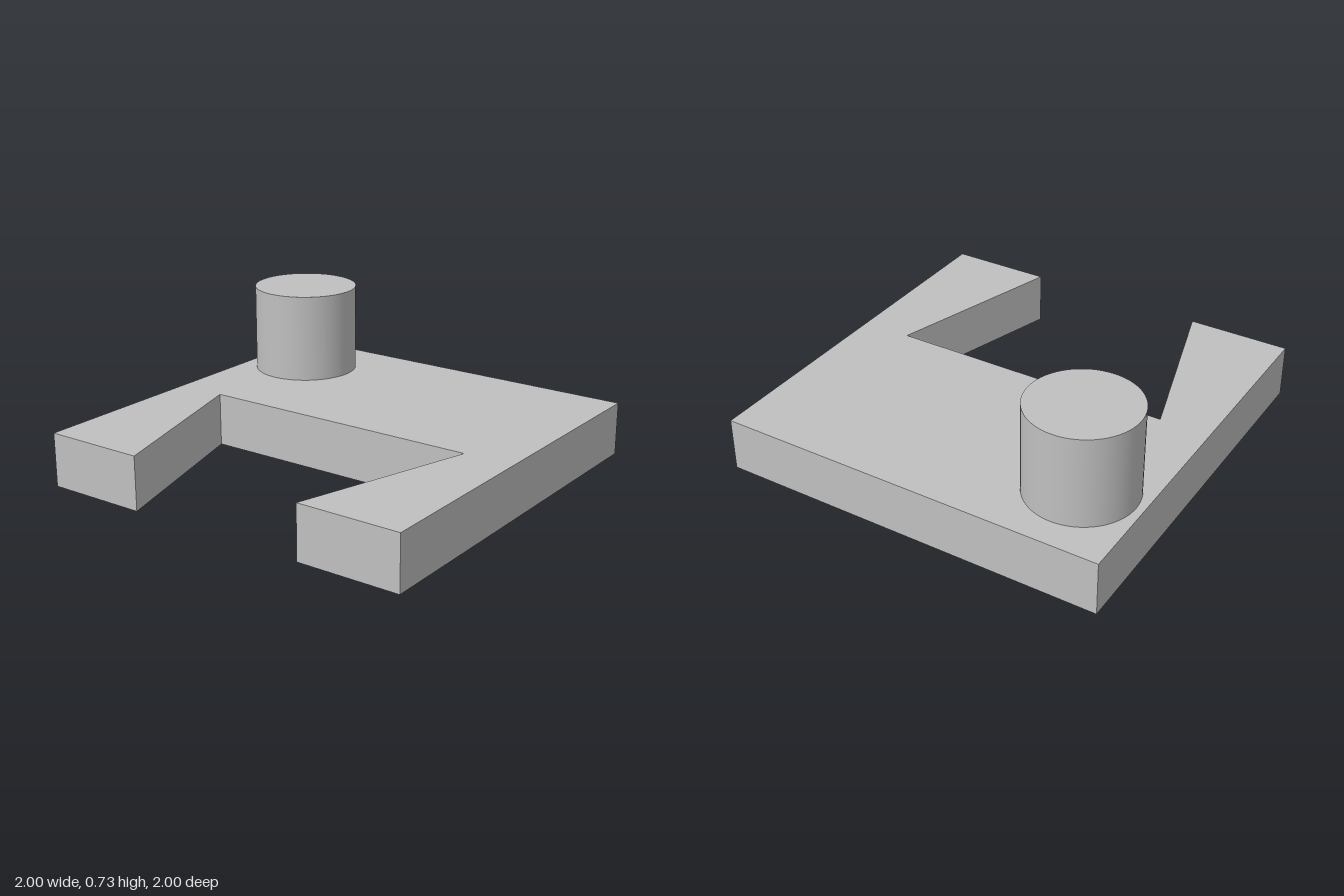
import * as THREE from 'three';

export function createModel() {
  const model = new THREE.Group();
  const grey = new THREE.MeshStandardMaterial({ color: 0xc0c0c0 });
  grey.name = 'plain grey';

  const plateHeight = 0.275;
  const postTop = 0.733;

  // Square plate with a dovetail notch open towards -x
  const outline = new THREE.Shape([
    [-1, -1], [1, -1], [1, 1], [-1, 1],
    [-1, 0.47], [-0.083, 0.74], [-0.083, -0.74], [-1, -0.47],
  ].map(([x, y]) => new THREE.Vector2(x, y)));
  const plateGeometry = new THREE.ExtrudeGeometry(outline, { depth: plateHeight, bevelEnabled: false });
  plateGeometry.rotateX(-Math.PI / 2);
  const plate = new THREE.Mesh(plateGeometry, grey);
  plate.name = 'notchedPlate';
  model.add(plate);

  // Round post standing near the back left corner
  const postHeight = postTop - plateHeight;
  const post = new THREE.Mesh(new THREE.CylinderGeometry(0.273, 0.273, postHeight, 64), grey);
  post.name = 'roundPost';
  post.position.set(0.588, plateHeight + postHeight / 2, -0.687);
  model.add(post);

  return model;
}
